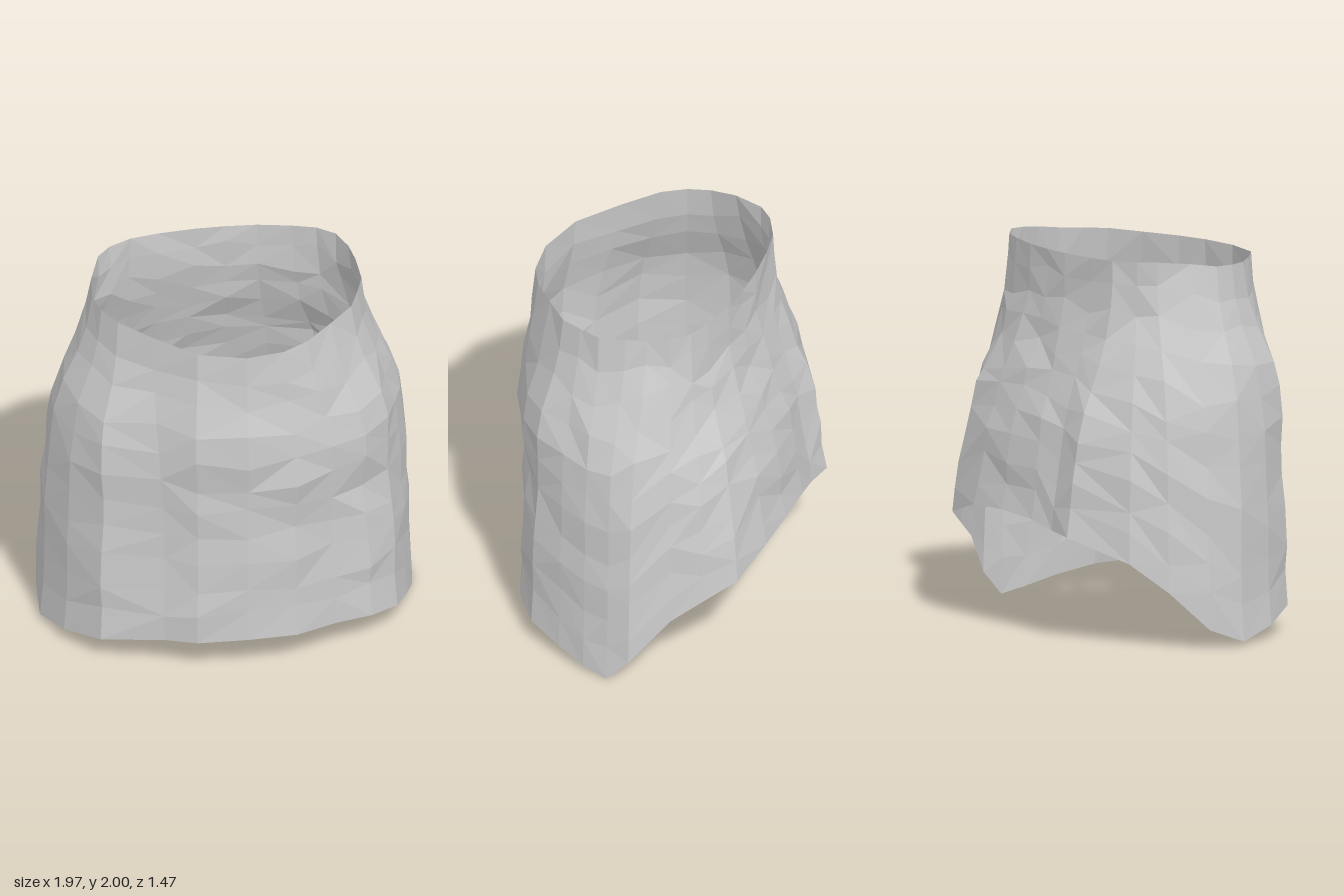
import * as THREE from 'three';

// One entry per column around the cloth: waist [x, z], then hem [x, z, y]
const COLUMNS = [
  [0, 0.67, 0, 0.71, 0.195], [0.2, 0.64, 0.26, 0.69, 0.19], [0.33, 0.57, 0.48, 0.59, 0.18],
  [0.47, 0.44, 0.68, 0.52, 0.165], [0.6, 0.31, 0.83, 0.39, 0.13], [0.65, 0.19, 0.91, 0.2, 0.08],
  [0.69, 0.07, 0.96, 0.04, 0.03], [0.68, -0.08, 0.98, -0.1, 0], [0.66, -0.19, 0.97, -0.22, 0.13],
  [0.61, -0.3, 0.83, -0.4, 0.36], [0.52, -0.38, 0.73, -0.54, 0.46], [0.4, -0.42, 0.61, -0.68, 0.55],
  [0.22, -0.46, 0.35, -0.73, 0.63], [0.06, -0.47, 0.1, -0.735, 0.64], [-0.1, -0.47, -0.15, -0.72, 0.62],
  [-0.3, -0.45, -0.3, -0.7, 0.58], [-0.45, -0.42, -0.46, -0.72, 0.57], [-0.57, -0.35, -0.75, -0.53, 0.45],
  [-0.64, -0.27, -0.88, -0.37, 0.3], [-0.7, -0.1, -0.98, -0.18, 0.1], [-0.72, 0.05, -0.99, 0.03, 0.02],
  [-0.69, 0.17, -0.9, 0.27, 0.07], [-0.62, 0.29, -0.74, 0.49, 0.13], [-0.46, 0.44, -0.42, 0.6, 0.165],
  [-0.25, 0.61, -0.26, 0.68, 0.18],
];
const ROWS = 11;

// Share of the waist-to-hem spread reached at each height
const SIDE = [[0, 1], [0.7, 0.92], [1.0, 0.85], [1.25, 0.77], [1.5, 0.48], [1.72, 0.15], [1.96, 0]];
const BACK = [[0.6, 1], [0.7, 0.95], [1.0, 0.8], [1.24, 0.6], [1.52, 0.2], [1.8, 0], [2, 0]];
// Waist height from front to back
const WAIST = [[-0.47, 1.99], [-0.3, 2], [-0.1, 1.98], [0.05, 1.955], [0.3, 1.94], [0.67, 1.9]];

function sample(keys, v) {
  if (v <= keys[0][0]) return keys[0][1];
  for (let i = 1; i < keys.length; i++) {
    const [a, fa] = keys[i - 1], [b, fb] = keys[i];
    if (v <= b) return fa + (fb - fa) * (v - a) / (b - a);
  }
  return keys[keys.length - 1][1];
}

function seeded(seed) {
  return () => {
    seed = (seed * 1664525 + 1013904223) % 4294967296;
    return seed / 4294967296 - 0.5;
  };
}

const bump = (d, width) => Math.exp(-(d * d) / (width * width));

function clothGeometry() {
  const rand = seeded(11);
  const n = COLUMNS.length;
  const positions = [], index = [];

  for (const [wx, wz, hx, hz, hy] of COLUMNS) {
    const top = sample(WAIST, wz);
    const back = THREE.MathUtils.smoothstep(-hz, 0.25, 0.65);
    const front = THREE.MathUtils.smoothstep(hz, 0.2, 0.6);
    for (let j = 0; j <= ROWS; j++) {
      const edge = j === 0 || j === ROWS;
      let y = THREE.MathUtils.lerp(top, hy, j / ROWS);
      if (!edge) y += rand() * 0.07;
      const spread = j === 0 ? 0 : j === ROWS ? 1
        : THREE.MathUtils.lerp(sample(SIDE, y), sample(BACK, y), back);
      let x = THREE.MathUtils.lerp(wx, hx, spread);
      let z = THREE.MathUtils.lerp(wz, hz, spread);

      if (!edge) {
        // Belly fullness, front pleat and pinched back corner
        let push = 0.035 * front * bump(y - 1.36, 0.25) + rand() * 0.022;
        push -= 0.06 * front * bump(x - 0.72, 0.16) * bump(y - 0.9, 0.11);
        push += 0.02 * front * bump(x - 0.3, 0.2) * bump(y - 1.15, 0.1);
        if (z < -0.2) push -= 0.05 * bump(x + 0.6, 0.09) * bump(y - 1.78, 0.1);
        const r = Math.hypot(x, z);
        x += (x / r) * push;
        z += (z / r) * push;
      }
      positions.push(x, y, z);
    }
  }

  // Triangles with irregular diagonals, like wrinkled cloth
  for (let i = 0; i < n; i++) {
    for (let j = 0; j < ROWS; j++) {
      const a = i * (ROWS + 1) + j, b = a + 1;
      const d = ((i + 1) % n) * (ROWS + 1) + j, c = d + 1;
      if (rand() > 0) index.push(a, b, c, a, c, d);
      else index.push(a, b, d, b, c, d);
    }
  }

  const geometry = new THREE.BufferGeometry();
  geometry.setAttribute('position', new THREE.Float32BufferAttribute(positions, 3));
  geometry.setIndex(index);
  geometry.computeVertexNormals();
  return geometry;
}

export function createModel() {
  const group = new THREE.Group();
  group.name = 'skirt';
  const material = new THREE.MeshStandardMaterial({
    color: 0xcccccc, flatShading: true, side: THREE.DoubleSide,
  });
  const cloth = new THREE.Mesh(clothGeometry(), material);
  cloth.name = 'skirtCloth';
  group.add(cloth);
  return group;
}
